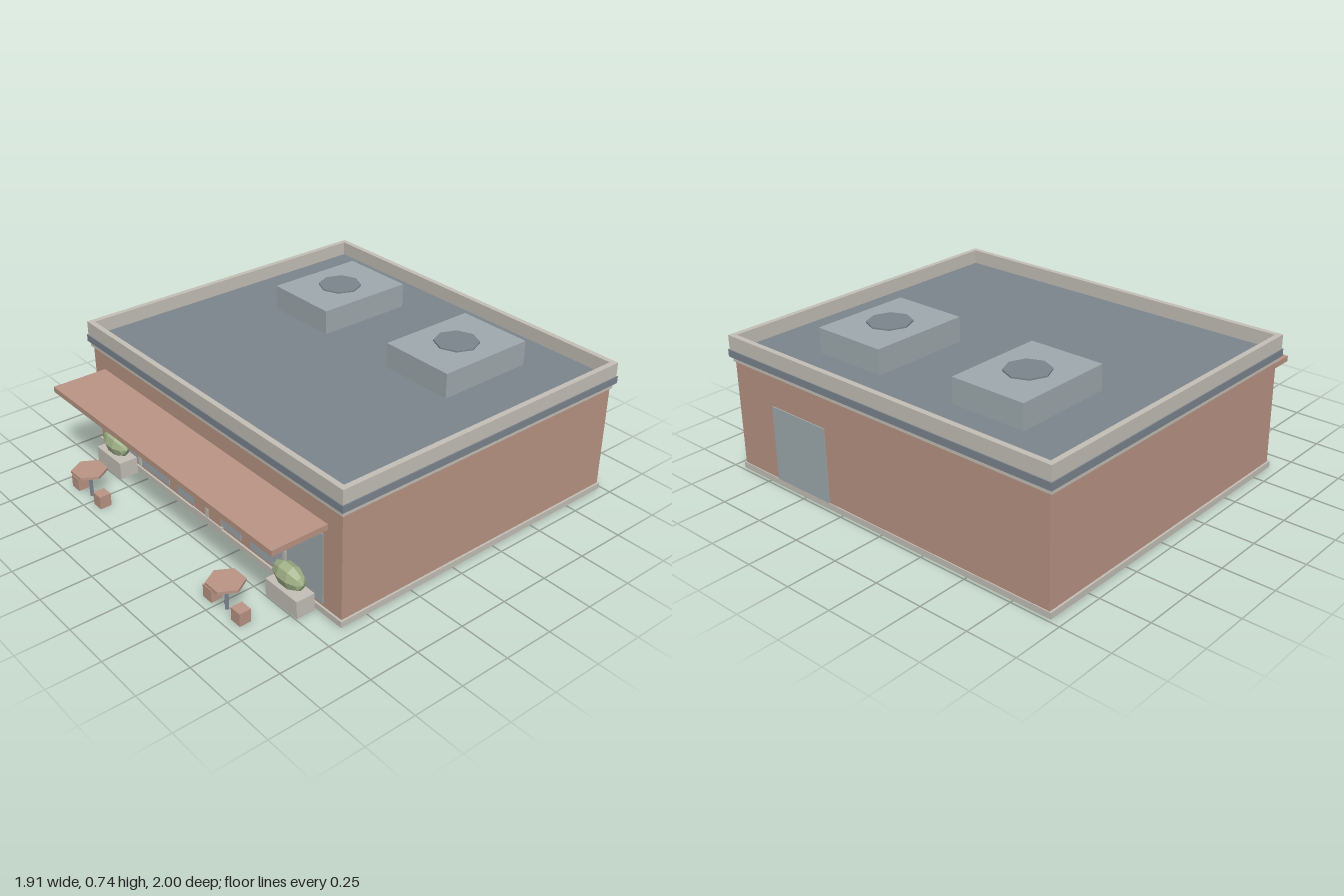
import * as THREE from 'three';

const mat = (name, color, flat = false) => {
  const m = new THREE.MeshStandardMaterial({ color, flatShading: flat });
  m.name = name;
  return m;
};

export function createModel() {
  const model = new THREE.Group();
  model.name = 'cafeBuilding';
  const brick = mat('terracotta', 0xbb9585);
  const cream = mat('cream', 0xc5c1b8);
  const slate = mat('slate', 0x7c858e, true);
  const glass = mat('paleBlueGrey', 0xa0abaf);
  const leaf = mat('leafGreen', 0xa3b48a, true);
  const wood = mat('tableTerracotta', 0xbb9585, true);

  const add = (parent, name, geometry, material, x = 0, y = 0, z = 0) => {
    const mesh = new THREE.Mesh(geometry, material);
    mesh.name = name;
    mesh.position.set(x, y, z);
    parent.add(mesh);
    return mesh;
  };
  // Box given by its extents on each axis
  const box = (parent, name, material, x0, x1, y0, y1, z0, z1) =>
    add(parent, name, new THREE.BoxGeometry(x1 - x0, y1 - y0, z1 - z0), material,
      (x0 + x1) / 2, (y0 + y1) / 2, (z0 + z1) / 2);

  // Shell of the building
  box(model, 'plinth', cream, -0.945, 0.945, 0, 0.03, -0.985, 0.64);
  box(model, 'walls', brick, -0.935, 0.935, 0.03, 0.55, -0.98, 0.63);
  box(model, 'lowerCornice', cream, -0.945, 0.945, 0.55, 0.575, -0.985, 0.64);
  box(model, 'roofSlab', slate, -0.957, 0.957, 0.575, 0.61, -1, 0.65);

  // Parapet ring around the roof
  const ring = new THREE.Shape();
  ring.moveTo(-0.952, -0.645).lineTo(0.952, -0.645).lineTo(0.952, 0.995).lineTo(-0.952, 0.995).closePath();
  const opening = new THREE.Path();
  opening.moveTo(-0.925, -0.618).lineTo(-0.925, 0.968).lineTo(0.925, 0.968).lineTo(0.925, -0.618).closePath();
  ring.holes.push(opening);
  const parapet = add(model, 'parapet',
    new THREE.ExtrudeGeometry(ring, { depth: 0.07, bevelEnabled: false }), cream, 0, 0.61, 0);
  parapet.rotation.x = -Math.PI / 2;

  // Shop front: windows, central door and canopy
  box(model, 'centreWindow', glass, -0.25, 0.25, 0.045, 0.395, 0.628, 0.634);
  box(model, 'door', brick, -0.105, 0.105, 0.03, 0.365, 0.63, 0.638);
  box(model, 'doorPane', slate, -0.058, 0.056, 0.21, 0.31, 0.634, 0.640);
  box(model, 'centreMullion', cream, -0.01, 0.01, 0.04, 0.395, 0.634, 0.642);
  box(model, 'doorSill', cream, -0.113, 0.113, 0.03, 0.042, 0.63, 0.645);
  add(model, 'doorKnob', new THREE.SphereGeometry(0.009, 8, 6), cream, 0.068, 0.155, 0.641);
  box(model, 'canopy', brick, -0.845, 0.845, 0.43, 0.458, 0.625, 0.912);

  // Window at the back
  box(model, 'backWindow', glass, 0.34, 0.69, 0.03, 0.4, -0.985, -0.978);

  for (const s of [-1, 1]) {
    const side = new THREE.Group();
    side.name = s > 0 ? 'leftSideParts' : 'rightSideParts';
    model.add(side);
    const mid = (name, material, cx, w, y0, y1, z0, z1) =>
      box(side, name, material, s * cx - w / 2, s * cx + w / 2, y0, y1, z0, z1);

    // Wide shop window with its mullion
    mid('shopWindow', glass, 0.57, 0.5, 0.045, 0.395, 0.628, 0.634);
    mid('shopMullion', cream, 0.57, 0.02, 0.04, 0.395, 0.634, 0.640);

    // Rooftop unit with fan cover
    mid('roofUnit', glass, 0.412, 0.388, 0.61, 0.733, -0.752, -0.247);
    add(side, 'fanCover', new THREE.CylinderGeometry(0.107, 0.107, 0.008, 8), slate, s * 0.412, 0.736, -0.5);

    // Planter and faceted bush
    mid('planter', cream, 0.682, 0.21, 0, 0.088, 0.65, 0.745);
    const bushShape = new THREE.SphereGeometry(1, 8, 5).rotateZ(Math.PI / 2).scale(0.096, 0.062, 0.048);
    add(side, 'bush', bushShape, leaf, s * 0.678, 0.141, 0.698);

    // Cafe table with two stools
    const top = add(side, 'tableTop', new THREE.CylinderGeometry(0.086, 0.086, 0.013, 6), wood, s * 0.547, 0.141, 0.925);
    top.rotation.y = Math.PI / 6;
    add(side, 'tableLeg', new THREE.CylinderGeometry(0.01, 0.01, 0.136, 6), slate, s * 0.547, 0.068, 0.925);
    for (const cx of [0.447, 0.647]) mid('stool', brick, cx, 0.06, 0, 0.065, 0.897, 0.955);
  }
  return model;
}
